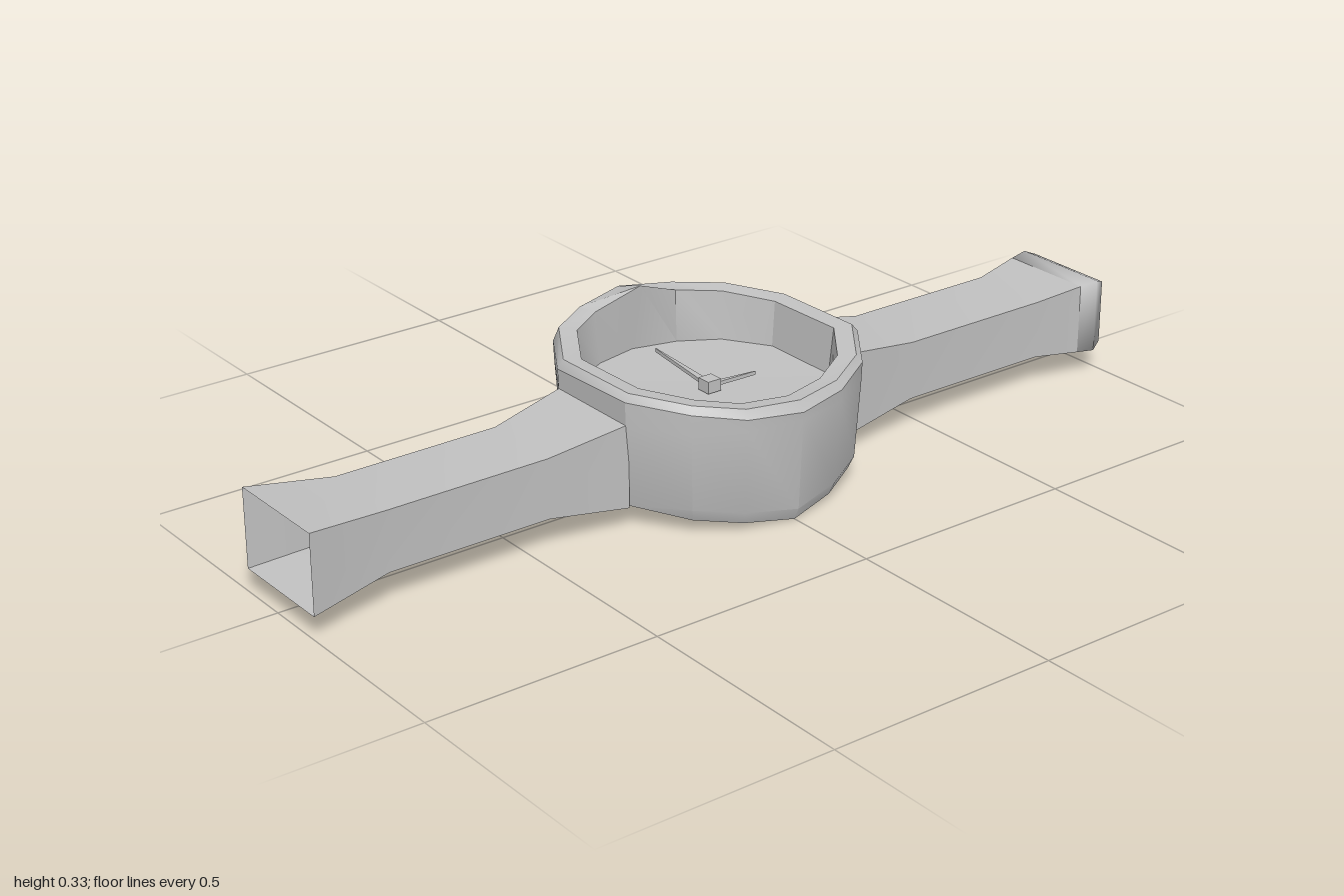
import * as THREE from 'three';
import { toCreasedNormals } from 'three/addons/utils/BufferGeometryUtils.js';

// Joins closed rings of points into a skin; skip(ring, side) leaves a quad open.
function loft(rings, skip = () => false) {
  const n = rings[0].length, index = [];
  for (let r = 0; r < rings.length - 1; r++) {
    for (let i = 0; i < n; i++) {
      if (skip(r, i)) continue;
      const j = (i + 1) % n;
      const a = r * n + i, b = r * n + j, c = b + n, d = a + n;
      index.push(a, c, b, a, d, c);
    }
  }
  const g = new THREE.BufferGeometry();
  g.setAttribute('position', new THREE.Float32BufferAttribute(rings.flat(2), 3));
  g.setIndex(index);
  g.computeVertexNormals();
  return g;
}

// Rectangular strap section at z
const section = (z, x0, x1, y0, y1) => [[x0, y1, z], [x1, y1, z], [x1, y0, z], [x0, y0, z]];

export function createModel() {
  const group = new THREE.Group();
  const metal = new THREE.MeshStandardMaterial({ color: 0xc0c0c0, side: THREE.DoubleSide });
  metal.name = 'light grey';
  const add = (name, geometry) => {
    const mesh = new THREE.Mesh(geometry, metal);
    mesh.name = name;
    group.add(mesh);
    return mesh;
  };
  const crease = (g, angle = 0.55) => toCreasedNormals(g, angle);

  // Case outline: x, z, top of the side, crest of the bezel
  const outline = [
    [-0.105, -0.295, 0.268, 0.287], [0.12, -0.295, 0.275, 0.29],
    [0.235, -0.21, 0.267, 0.282], [0.285, -0.115, 0.25, 0.268],
    [0.308, 0, 0.242, 0.264], [0.285, 0.12, 0.25, 0.268],
    [0.232, 0.215, 0.267, 0.282], [0.12, 0.29, 0.275, 0.29],
    [-0.105, 0.29, 0.268, 0.287], [-0.235, 0.21, 0.264, 0.295],
    [-0.285, 0.12, 0.272, 0.302], [-0.31, 0, 0.286, 0.312],
    [-0.28, -0.12, 0.272, 0.302], [-0.22, -0.22, 0.264, 0.295],
  ];
  const strapSides = [0, 7], strapCorners = [0, 1, 7, 8], raised = 11;
  const ring = (scale, height) => outline.map((p, i) => [p[0] * scale, height(p, i), p[1] * scale]);
  const baseY = ([x, z]) => 0.009 - 0.02 * x + 0.13 * Math.abs(z);

  // Case: keel-shaped base, side wall, bezel with one raised tip, inner wall
  const lip = ring(0.84, (p) => p[3] - 0.004);
  lip[raised] = [-0.22, 0.337, 0];
  const caseRings = [
    ring(0, () => 0.009),
    ring(0.92, baseY),
    ring(0.96, (p, i) => (strapCorners.includes(i) ? 0.05 : baseY(p) + 0.027)),
    ring(0.995, () => 0.225),
    ring(1, (p) => p[2]),
    ring(0.96, (p) => p[3]),
    lip,
    ring(0.81, () => 0.186),
  ];
  add('watchCase', crease(loft(caseRings, (r, i) => r === 2 && strapSides.includes(i))));

  // Dial sheet
  add('dial', crease(loft([ring(0.81, () => 0.186), ring(0, () => 0.182)])));

  // Front strap: hollow, flared, open at the end
  add('frontStrap', crease(loft([
    section(0.282, -0.105, 0.12, 0.048, 0.227),
    section(0.46, -0.077, 0.104, 0.072, 0.2),
    section(0.82, -0.077, 0.104, 0.072, 0.2),
    section(1, -0.105, 0.135, 0.052, 0.221),
  ])));

  // Back strap
  add('backStrap', crease(loft([
    section(-0.93, -0.095, 0.12, 0.06, 0.214),
    section(-0.82, -0.077, 0.104, 0.072, 0.2),
    section(-0.46, -0.077, 0.104, 0.072, 0.2),
    section(-0.285, -0.105, 0.12, 0.048, 0.227),
  ])));

  // Rounded closed end of the back strap, smoothly shaded
  add('strapTip', loft([
    section(-1, 0.013, 0.013, 0.137, 0.137),
    section(-0.998, -0.092, 0.117, 0.068, 0.208),
    section(-0.972, -0.1, 0.127, 0.056, 0.219),
    section(-0.93, -0.095, 0.12, 0.06, 0.214),
  ]));

  // Hub and tapered hands
  add('hub', new THREE.BoxGeometry(0.032, 0.026, 0.032)).position.set(0.011, 0.198, 0);
  const hand = (name, length, width, angle) => {
    const shape = new THREE.Shape([
      new THREE.Vector2(0, -width / 2), new THREE.Vector2(length, -0.001),
      new THREE.Vector2(length, 0.001), new THREE.Vector2(0, width / 2),
    ]);
    const g = new THREE.ExtrudeGeometry(shape, { depth: 0.008, bevelEnabled: false });
    g.rotateX(-Math.PI / 2);
    const mesh = add(name, g);
    mesh.position.set(0.011, 0.192, 0);
    mesh.rotation.y = angle;
  };
  hand('minuteHand', 0.21, 0.016, Math.PI - 0.1);
  hand('hourHand', 0.11, 0.012, Math.PI / 2 - 0.08);

  return group;
}
